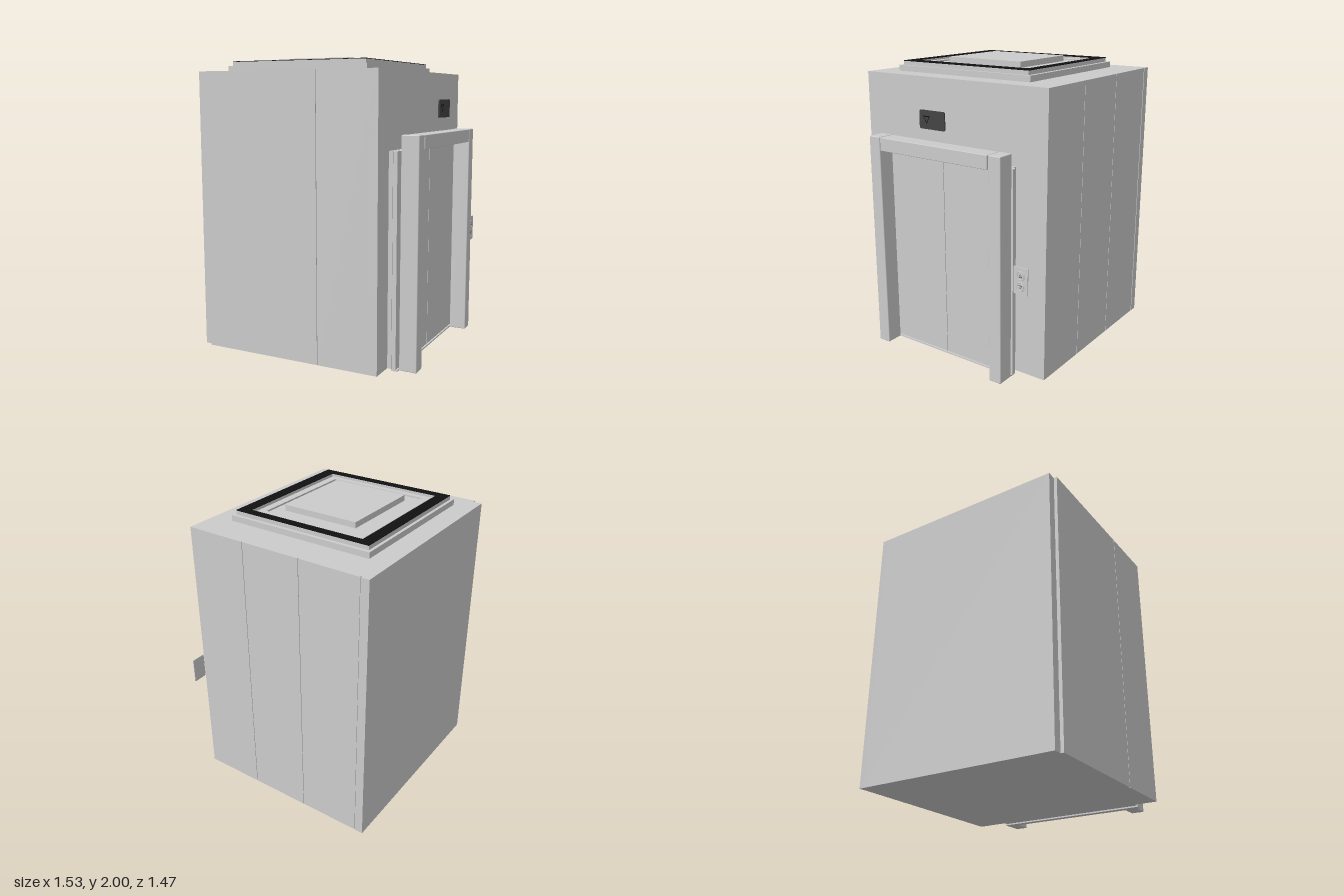
import * as THREE from 'three';
import { RoundedBoxGeometry } from 'three/addons/geometries/RoundedBoxGeometry.js';

const grey = new THREE.MeshStandardMaterial({ color: 0xcccccc });
const dark = new THREE.MeshStandardMaterial({ color: 0x444444 });
const black = new THREE.MeshStandardMaterial({ color: 0x111111 });

export function createModel() {
  const root = new THREE.Group();

  const add = (name, geometry, material = grey, parent = root) => {
    const mesh = new THREE.Mesh(geometry, material);
    mesh.name = name;
    parent.add(mesh);
    return mesh;
  };

  // Box given by its limits on each axis; radius > 0 softens the edges
  const box = (name, [x0, x1], [y0, y1], [z0, z1], material = grey, radius = 0) => {
    const size = [x1 - x0, y1 - y0, z1 - z0];
    const geometry = radius
      ? new RoundedBoxGeometry(...size, 2, radius)
      : new THREE.BoxGeometry(...size);
    const mesh = add(name, geometry, material);
    mesh.position.set((x0 + x1) / 2, (y0 + y1) / 2, (z0 + z1) / 2);
    return mesh;
  };

  // Horizontal square frame centred on the roof, given by half sizes
  const roofX = -0.1, roofZ = 0.035;
  const rect = (path, hx, hz) => path
    .moveTo(-hx, -hz).lineTo(hx, -hz).lineTo(hx, hz).lineTo(-hx, hz).closePath();
  const roofFrame = (name, outer, inner, y0, y1, material = grey) => {
    const shape = new THREE.Shape();
    rect(shape, ...outer);
    const hole = new THREE.Path();
    rect(hole, ...inner);
    shape.holes.push(hole);
    const geometry = new THREE.ExtrudeGeometry(shape, { depth: y1 - y0, bevelEnabled: false });
    geometry.rotateX(-Math.PI / 2);
    add(name, geometry, material).position.set(roofX, y0, roofZ);
  };
  const roofSlab = (name, hx, hz, y0, y1) =>
    box(name, [roofX - hx, roofX + hx], [y0, y1], [roofZ - hz, roofZ + hz]);

  // Cabin body with wall panels separated by narrow seams
  const height = [0.01, 1.91];
  box('cabinCore', [-0.77, 0.569], height, [-0.725, 0.712]);
  box('doorSideWall', [0.55, 0.572], height, [-0.737, 0.735]);
  const seams = [-0.71, -0.28, 0.145, 0.572];
  box('rearCornerPanel', [-0.77, -0.712], height, [-0.739, -0.7]);
  for (let i = 0; i < 3; i++)
    box('rearWallPanel', [seams[i] + 0.002, seams[i + 1] - 0.002], height, [-0.737, -0.7]);
  box('frontWallPanelWide', [-0.71, 0.143], height, [0.7, 0.735]);
  box('frontWallPanelNarrow', [0.147, 0.57], height, [0.7, 0.735]);

  // Stepped roof with a dark light band and a raised centre
  roofSlab('roofBase', 0.523, 0.543, 1.905, 1.95);
  roofFrame('roofStep', [0.503, 0.518], [0.425, 0.46], 1.95, 1.977);
  roofFrame('roofDarkBand', [0.503, 0.518], [0.425, 0.46], 1.977, 1.981, black);
  roofFrame('roofInnerRim', [0.405, 0.438], [0.354, 0.393], 1.95, 1.968);
  roofSlab('roofInnerPanel', 0.348, 0.386, 1.95, 1.96);
  roofSlab('roofCentre', 0.272, 0.302, 1.955, 2.0);

  // Cabin doors and landing doors, two leaves each, meeting at a seam
  for (const [name, x, z0, z1] of [
    ['cabinDoor', [0.572, 0.6], -0.51, 0.575],
    ['landingDoor', [0.605, 0.633], -0.53, 0.582],
  ]) {
    box(name + 'RearLeaf', x, [0.01, 1.41], [z0, 0.021]);
    box(name + 'FrontLeaf', x, [0.01, 1.41], [0.025, z1]);
  }
  box('doorTrack', [0.572, 0.625], [1.39, 1.407], [-0.5, 0.565]);
  box('doorSill', [0.6, 0.645], [0, 0.01], [-0.525, 0.58]);

  // Landing door frame
  box('frontPost', [0.645, 0.765], [0, 1.51], [0.463, 0.555], grey, 0.006);
  box('rearPost', [0.645, 0.765], [0, 1.51], [-0.527, -0.436], grey, 0.006);
  box('header', [0.645, 0.765], [1.417, 1.508], [-0.428, 0.458], grey, 0.004);

  // Thin signs facing +x
  const roundedPlate = (name, w, h, r, depth, material, x, y, z) => {
    const a = w / 2 - r, b = h / 2 - r, s = new THREE.Shape();
    s.absarc(a, b, r, 0, Math.PI / 2);
    s.absarc(-a, b, r, Math.PI / 2, Math.PI);
    s.absarc(-a, -b, r, Math.PI, Math.PI * 1.5);
    s.absarc(a, -b, r, Math.PI * 1.5, Math.PI * 2);
    const geometry = new THREE.ExtrudeGeometry(s, { depth, bevelEnabled: false, curveSegments: 6 });
    geometry.rotateY(Math.PI / 2);
    add(name, geometry, material).position.set(x, y, z);
  };
  const arrow = (name, size, up, material, x, y, z) => {
    const d = up ? 1 : -1, triangle = (p, k) => p
      .moveTo(-size * k, -size * k * 0.8 * d).lineTo(size * k, -size * k * 0.8 * d)
      .lineTo(0, size * k * d).closePath();
    const s = triangle(new THREE.Shape(), 1);
    s.holes.push(triangle(new THREE.Path(), 0.7));
    const geometry = new THREE.ExtrudeGeometry(s, { depth: 0.002, bevelEnabled: false });
    geometry.rotateY(Math.PI / 2);
    add(name, geometry, material).position.set(x, y, z);
  };

  // Floor indicator above the doors
  roundedPlate('floorIndicator', 0.205, 0.12, 0.012, 0.009, dark, 0.725, 1.665, 0.023);
  arrow('indicatorArrow', 0.028, false, black, 0.7335, 1.667, 0.066);

  // Call panel with two ringed buttons
  roundedPlate('callPanel', 0.105, 0.18, 0.004, 0.006, grey, 0.72, 0.74, -0.652);
  for (const [y, up] of [[0.775, true], [0.702, false]]) {
    const ring = add('buttonRing', new THREE.TorusGeometry(0.028, 0.003, 6, 28));
    ring.rotation.y = Math.PI / 2;
    ring.position.set(0.726, y, -0.652);
    const button = add('callButton', new THREE.CylinderGeometry(0.022, 0.022, 0.004, 28));
    button.rotation.z = Math.PI / 2;
    button.position.set(0.727, y, -0.652);
    arrow('buttonArrow', 0.013, up, dark, 0.7285, y, -0.652);
  }

  return root;
}
